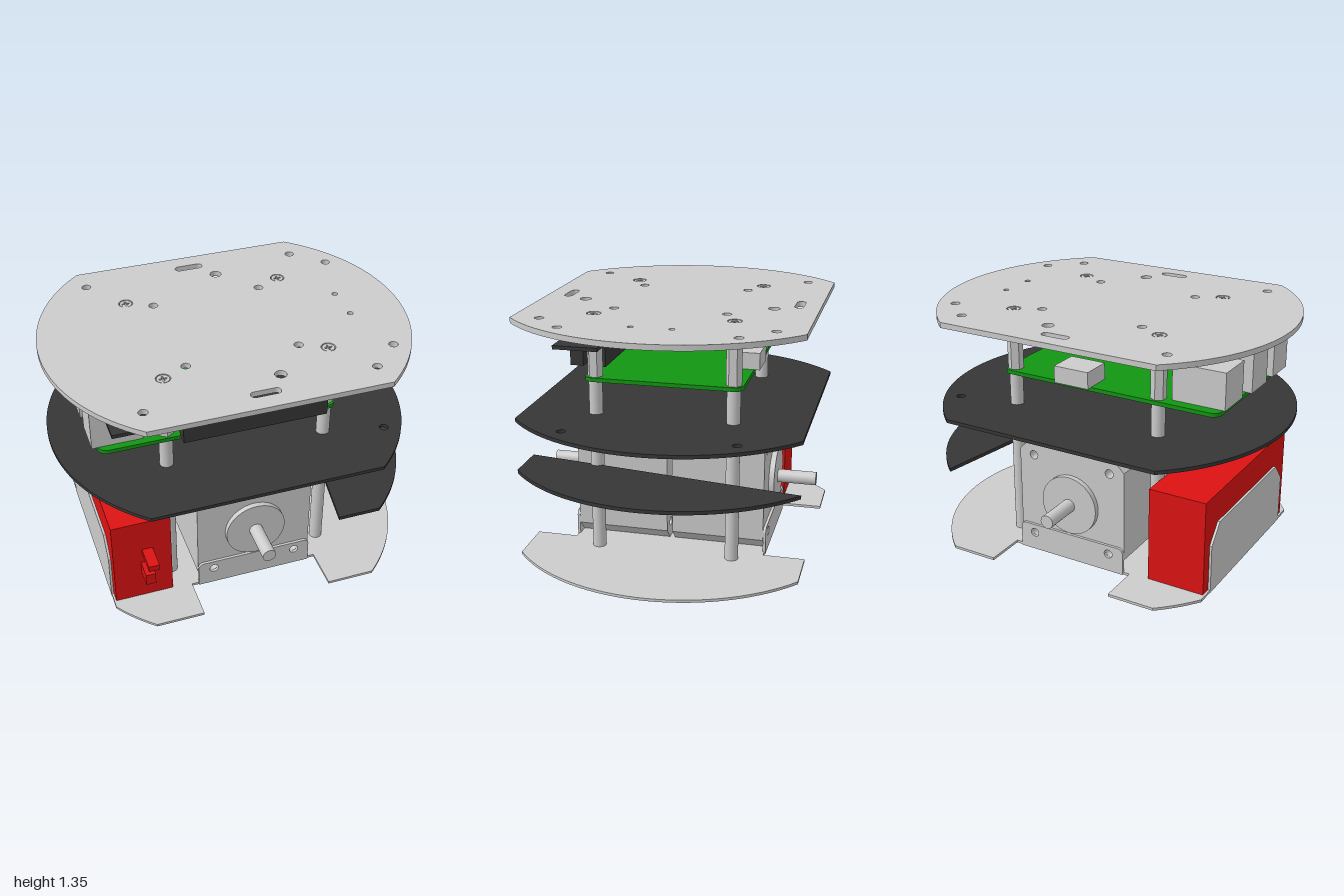
import * as THREE from 'three';

const mat = (color) => new THREE.MeshStandardMaterial({ color });
const GREY = mat(0xcccccc), BLACK = mat(0x363636), RED = mat(0xdc1212), GREEN = mat(0x129512);
const A = Math.asin(0.77), B = Math.acos(0.82), PI = Math.PI;

function add(parent, name, geometry, material = GREY) {
  const mesh = new THREE.Mesh(geometry, material);
  mesh.name = name;
  parent.add(mesh);
  return mesh;
}

// Box given by its minimum and maximum corners
function box(parent, name, [x0, y0, z0], [x1, y1, z1], material) {
  const mesh = add(parent, name, new THREE.BoxGeometry(x1 - x0, y1 - y0, z1 - z0), material);
  mesh.position.set((x0 + x1) / 2, (y0 + y1) / 2, (z0 + z1) / 2);
  return mesh;
}

function hole(shape, x, y, r) {
  shape.holes.push(new THREE.Path().absarc(x, y, r, 0, PI * 2, true));
}

const extrude = (shape, depth) =>
  new THREE.ExtrudeGeometry(shape, { depth, bevelEnabled: false, curveSegments: 32 });

// Horizontal sheet: the shape is drawn in x and z
function plate(parent, name, shape, top, thickness, material) {
  const mesh = add(parent, name, extrude(shape, thickness).rotateX(PI / 2), material);
  mesh.position.y = top;
  return mesh;
}

const polygon = (points) => new THREE.Shape(points.map(([x, y]) => new THREE.Vector2(x, y)));

function roundedRect(x0, y0, x1, y1, r, path = new THREE.Shape()) {
  path.absarc(x1 - r, y0 + r, r, -PI / 2, 0);
  path.absarc(x1 - r, y1 - r, r, 0, PI / 2);
  path.absarc(x0 + r, y1 - r, r, PI / 2, PI);
  path.absarc(x0 + r, y0 + r, r, PI, PI * 1.5);
  path.closePath();
  return path;
}

// Disc cut straight at front and back
function deckShape() {
  const s = new THREE.Shape();
  s.absarc(0, 0, 1, -A, A);
  s.absarc(0, 0, 1, PI - A, PI + A);
  s.closePath();
  return s;
}

function screwHead() {
  const s = new THREE.Shape().absarc(0, 0, 0.034, 0, PI * 2);
  const w = 0.005, l = 0.021;
  const quarter = [[l, -w], [l, w], [w, w]];
  const pts = [];
  for (let i = 0; i < 4; i++) {
    for (const [x, y] of quarter) pts.push(new THREE.Vector2(x, y).rotateAround(new THREE.Vector2(), i * PI / 2));
  }
  s.holes.push(new THREE.Path(pts.reverse()));
  return extrude(s, 0.012).rotateX(PI / 2);
}

function motor() {
  const g = new THREE.Group();
  g.name = 'motor';
  const w = 0.33, c = 0.065, y0 = 0.018, y1 = 0.67;
  const body = polygon([[-w + c, y0], [w - c, y0], [w, y0 + c], [w, y1 - c],
    [w - c, y1], [-w + c, y1], [-w, y1 - c], [-w, y0 + c]]);
  const tab = new THREE.Shape();
  tab.moveTo(-w, 0);
  tab.lineTo(w, 0);
  tab.absarc(w - 0.03, 0.125, 0.03, 0, PI / 2);
  tab.absarc(-w + 0.03, 0.125, 0.03, PI / 2, PI);
  tab.closePath();
  for (const x of [-0.24, 0.24]) {
    hole(body, x, 0.105, 0.025);
    hole(body, x, 0.583, 0.025);
    hole(tab, x, 0.105, 0.025);
  }
  add(g, 'motorBody', extrude(body, 0.515)).position.z = 0.015;
  add(g, 'motorBracket', extrude(tab, 0.015)).position.z = 0.531;
  const disc = add(g, 'motorBoss', new THREE.CylinderGeometry(0.17, 0.17, 0.03, 48).rotateX(PI / 2));
  disc.position.set(0, 0.345, 0.545);
  const shaft = add(g, 'motorShaft', new THREE.CylinderGeometry(0.038, 0.038, 0.25, 24).rotateX(PI / 2));
  shaft.position.set(0, 0.345, 0.652);
  return g;
}

export function createModel() {
  const root = new THREE.Group();
  root.name = 'robotChassis';
  const posts = [];
  for (const x of [-0.447, 0.447]) for (const z of [-0.377, 0.377]) posts.push([x, z]);

  // Base with wheel notches and a straight battery side
  const base = new THREE.Shape();
  base.absarc(0, 0, 1, -A, A);
  for (const [x, y] of [[0.37, 0.77], [0.37, 0.54], [-0.37, 0.54], [-0.37, 0.77]]) base.lineTo(x, y);
  base.absarc(0, 0, 1, PI - A, PI - B);
  base.absarc(0, 0, 1, PI + B, PI + A);
  for (const [x, y] of [[-0.37, -0.77], [-0.37, -0.54], [0.37, -0.54], [0.37, -0.77]]) base.lineTo(x, y);
  base.closePath();
  for (const [x, z] of posts) hole(base, x, z, 0.02);
  plate(root, 'basePlate', base, 0.015, 0.015);

  // Upright flange beside the battery
  const flange = polygon([[-0.47, 0], [0.47, 0], [0.47, 0.28], [0.38, 0.385], [-0.38, 0.385], [-0.47, 0.28]]);
  add(root, 'batteryFlange', extrude(flange, 0.013).rotateY(PI / 2)).position.x = -0.822;

  // Two motors back to back
  const front = motor(), back = motor();
  back.rotation.y = PI;
  root.add(front, back);

  // Battery with plugs
  box(root, 'battery', [-0.808, 0.015, -0.53], [-0.48, 0.555, 0.53], RED);
  box(root, 'batteryPlug', [-0.655, 0.195, 0.53], [-0.6, 0.265, 0.635], RED);
  box(root, 'batterySwitch', [-0.645, 0.325, 0.53], [-0.585, 0.36, 0.67], RED);

  // Black decks
  const half = new THREE.Shape();
  half.moveTo(0.4, -0.77);
  half.absarc(0, 0, 1, -A, A);
  half.lineTo(0.4, 0.77);
  half.closePath();
  plate(root, 'halfDeck', half, 0.503, 0.02, BLACK);
  const middle = deckShape();
  for (const z of [-0.46, 0.46]) hole(middle, 0.78, z, 0.025);
  plate(root, 'middleDeck', middle, 0.798, 0.02, BLACK);

  // Top deck with holes and slots
  const top = deckShape();
  for (const z of [-1, 1]) {
    for (const x of [-0.615, 0.615]) hole(top, x, z * 0.617, 0.025);
    for (const x of [-0.308, 0.308]) hole(top, x, z * 0.308, 0.025);
    hole(top, 0.78, z * 0.46, 0.025);
    hole(top, 0.69, z * 0.107, 0.016);
    hole(top, 0.125, z * 0.528, 0.032);
    const y = z * 0.652;
    top.holes.push(roundedRect(-0.08, y - 0.024, 0.08, y + 0.024, 0.023, new THREE.Path()));
  }
  for (const [x, z] of posts) hole(top, x, z, 0.039);
  plate(root, 'topDeck', top, 1.348, 0.03);

  // Standoffs: round below the circuit board, hexagonal above
  for (const [x, z] of posts) {
    const lower = add(root, 'standoff', new THREE.CylinderGeometry(0.037, 0.037, 0.985, 24));
    lower.position.set(x, 0.507, z);
    const hex = new THREE.CylinderGeometry(0.043, 0.043, 0.32, 6).toNonIndexed();
    hex.computeVertexNormals();
    add(root, 'hexStandoff', hex).position.set(x, 1.16, z);
    const seat = add(root, 'screwSeat', new THREE.CylinderGeometry(0.034, 0.034, 0.016, 24));
    seat.position.set(x, 1.326, z);
    add(root, 'screwHead', screwHead()).position.set(x, 1.346, z);
  }

  // Circuit board with sockets
  plate(root, 'circuitBoard', roundedRect(-0.81, -0.43, 0.497, 0.43, 0.05), 1.007, 0.022, GREEN);
  box(root, 'doubleSocket', [-0.84, 1.005, 0.2], [-0.57, 1.225, 0.39]);
  box(root, 'doubleSocket', [-0.84, 1.005, -0.08], [-0.57, 1.225, 0.113]);
  box(root, 'networkSocket', [-0.82, 1.005, -0.37], [-0.52, 1.21, -0.155]);
  box(root, 'videoSocket', [-0.07, 1.005, -0.46], [0.14, 1.1, -0.285]);

  // Sensor strip with its two connector bars
  box(root, 'sensorStrip', [-0.765, 1.18, 0.315], [0.6, 1.2, 0.56], BLACK);
  box(root, 'frontBar', [-0.393, 1.04, 0.462], [0.393, 1.181, 0.535], BLACK);
  box(root, 'rearBar', [-0.393, 1.04, 0.337], [0.393, 1.181, 0.41], BLACK);

  return root;
}
